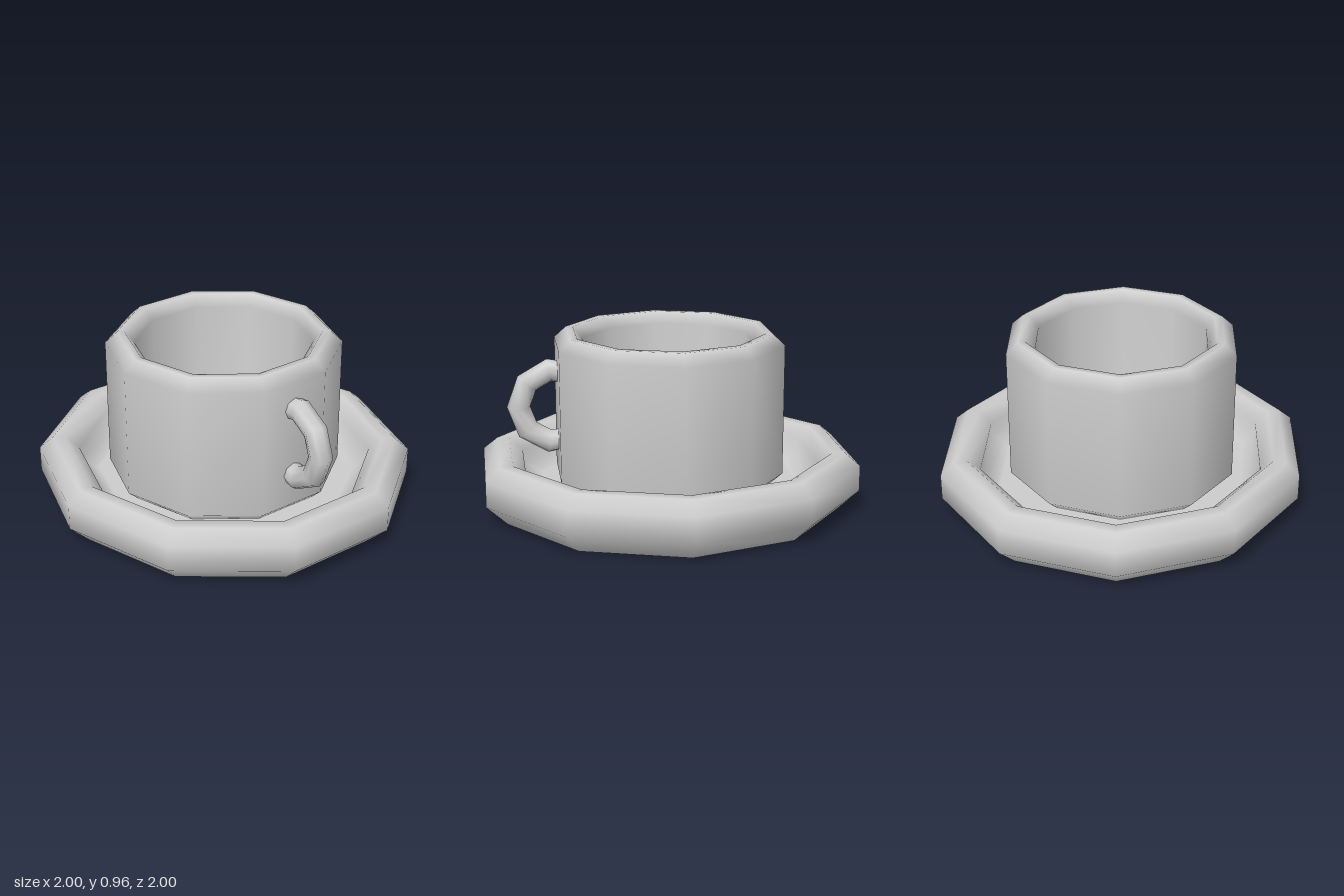
import * as THREE from 'three';

const SIDES = 10;

// Revolved ten-sided body from [radius, height] pairs, bottom centre to inner floor
function lathe(name, profile, material) {
  const points = profile.map(([r, y]) => new THREE.Vector2(r, y));
  const mesh = new THREE.Mesh(new THREE.LatheGeometry(points, SIDES), material);
  mesh.name = name;
  return mesh;
}

export function createModel() {
  const group = new THREE.Group();
  group.name = 'cupAndSaucer';
  const ceramic = new THREE.MeshStandardMaterial({ color: 0xcccccc });
  ceramic.name = 'grey ceramic';

  // Saucer: thick bevelled rim around a sunken floor, slightly stretched sideways
  const saucer = lathe('saucer', [
    [0, 0], [0.86, 0], [0.89, 0],
    [1, 0.11], [1, 0.25],
    [0.925, 0.315], [0.855, 0.315],
    [0.785, 0.25], [0.785, 0.19],
    [0.71, 0.13], [0.68, 0.13], [0, 0.13],
  ], ceramic);
  saucer.geometry.scale(1 / Math.cos(Math.PI / SIDES), 1, 1);

  // Cup: thick wall, bevelled lip and foot, hollow inside
  const cup = lathe('cup', [
    [0, 0.125], [0.56, 0.125],
    [0.63, 0.19], [0.63, 0.9],
    [0.565, 0.96], [0.525, 0.96],
    [0.475, 0.9], [0.465, 0.29],
    [0.4, 0.23], [0.37, 0.23], [0, 0.23],
  ], ceramic);

  // Handle: coarse ring segment whose ends sink into the cup wall
  const arc = (240 * Math.PI) / 180;
  const ring = new THREE.TorusGeometry(0.2, 0.0625, 8, 6, arc);
  ring.rotateZ(-arc / 2);
  const handle = new THREE.Mesh(ring, ceramic);
  handle.name = 'handle';
  handle.position.set(0.608, 0.565, 0);

  group.add(saucer, cup, handle);
  return group;
}
